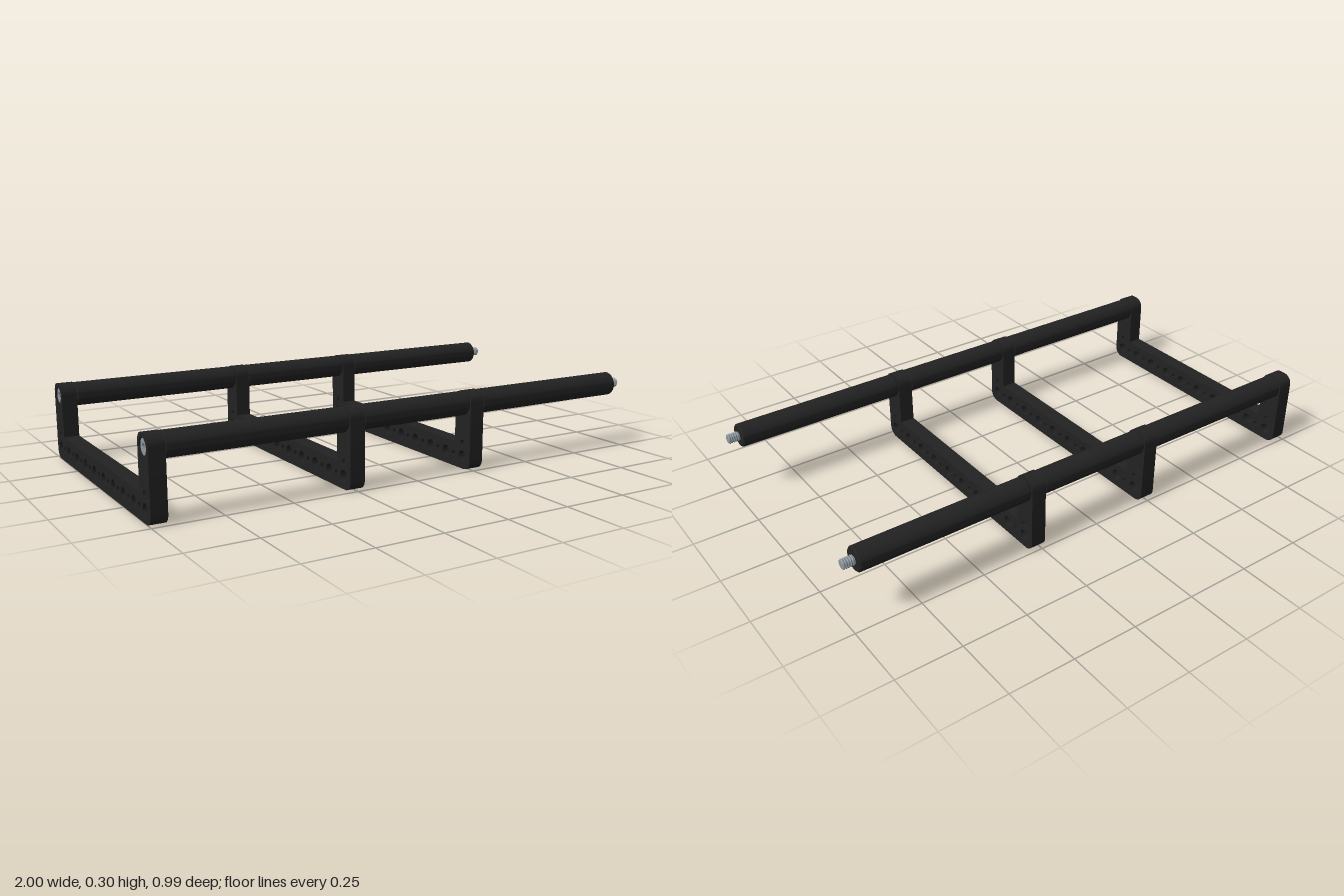
import * as THREE from 'three';
import { toCreasedNormals } from 'three/addons/utils/BufferGeometryUtils.js';

const RAIL_Y = 0.25, RAIL_Z = 0.45, THICK = 0.058;

// Turned part lying along x; profile is a list of [radius, x]
function turned(profile, sides = 40) {
  const g = new THREE.LatheGeometry(profile.map(([r, x]) => new THREE.Vector2(r, x)), sides);
  g.rotateZ(-Math.PI / 2);
  return toCreasedNormals(g, 0.5);
}

function hole(x, y, r) {
  return new THREE.Path().absarc(x, y, r, 0, Math.PI * 2, true);
}

// U-shaped perforated plate, with optional screw bores at the arm tops
function bracketGeometry(bored) {
  const w = 0.496, inner = 0.405, top = 0.295, base = 0.095, r = 0.036;
  const s = new THREE.Shape();
  s.moveTo(-w + r, 0);
  s.lineTo(w - r, 0);
  s.absarc(w - r, r, r, -Math.PI / 2, 0);
  s.absarc(w - r, top - r, r, 0, Math.PI / 2);
  s.absarc(inner + r, top - r, r, Math.PI / 2, Math.PI);
  s.lineTo(inner, base);
  s.lineTo(-inner, base);
  s.absarc(-inner - r, top - r, r, 0, Math.PI / 2);
  s.absarc(-w + r, top - r, r, Math.PI / 2, Math.PI);
  s.absarc(-w + r, r, r, Math.PI, Math.PI * 1.5);
  // Alternating large and small holes along the base
  for (let i = -9; i <= 9; i++) {
    s.holes.push(hole(i * 0.05, 0.048, i % 2 ? 0.021 : 0.011));
  }
  for (const side of [-1, 1]) {
    s.holes.push(hole(side * RAIL_Z, 0.098, 0.011));
    if (bored) s.holes.push(hole(side * RAIL_Z, RAIL_Y, 0.031));
  }
  const g = new THREE.ExtrudeGeometry(s, { depth: THICK, bevelEnabled: false, curveSegments: 12 });
  g.rotateY(Math.PI / 2);
  return toCreasedNormals(g, 0.6);
}

// Rail tube with chamfered ends
function railGeometry(x0, x1) {
  const R = 0.045, c = 0.005;
  return turned([[0, x0], [R - c, x0], [R, x0 + c], [R, x1 - c], [R - c, x1], [0, x1]]);
}

// Threaded stud: ridged profile
function studGeometry(x0, x1) {
  const pts = [[0, x0], [0.016, x0]], n = 6, step = (x1 - x0) / n;
  for (let i = 0; i < n; i++) {
    pts.push([0.019, x0 + (i + 0.5) * step], [0.016, x0 + (i + 1) * step]);
  }
  pts.push([0, x1]);
  return turned(pts, 24);
}

// Screw head with a hexagonal socket, facing -x
function screwGeometry() {
  const s = new THREE.Shape().absarc(0, 0, 0.028, 0, Math.PI * 2);
  const hex = new THREE.Path();
  for (let i = 0; i < 6; i++) {
    const a = -i * Math.PI / 3;
    hex[i ? 'lineTo' : 'moveTo'](0.013 * Math.cos(a), 0.013 * Math.sin(a));
  }
  hex.closePath();
  s.holes.push(hex);
  const g = new THREE.ExtrudeGeometry(s, { depth: 0.03, bevelEnabled: false, curveSegments: 16 });
  g.rotateY(Math.PI / 2);
  return toCreasedNormals(g, 0.6);
}

export function createModel() {
  const black = new THREE.MeshStandardMaterial({ color: 0x222222 });
  black.name = 'black metal';
  const steel = new THREE.MeshStandardMaterial({ color: 0x8d989f });
  steel.name = 'steel';

  const model = new THREE.Group();
  model.name = 'railFrame';
  function add(name, geometry, material, x = 0, y = 0, z = 0) {
    const m = new THREE.Mesh(geometry, material);
    m.name = name;
    m.position.set(x, y, z);
    model.add(m);
  }

  // Three brackets; only the end one shows its screws
  const starts = [-1, -0.278, 0.235];
  const plain = bracketGeometry(false);
  add('endBracket', bracketGeometry(true), black, starts[0]);
  add('middleBracket', plain, black, starts[1]);
  add('frontBracket', plain, black, starts[2]);

  // Rail segments between brackets, studs and screws on both sides
  const ends = [starts[1], starts[2], 0.957];
  const rails = starts.map((x, i) => railGeometry(x + THICK, ends[i]));
  const stud = studGeometry(0.95, 1);
  const screw = screwGeometry();
  const socketFloor = turned([[0, 0], [0.028, 0], [0.028, 0.04], [0, 0.04]], 24);
  for (const [side, z] of [['left', RAIL_Z], ['right', -RAIL_Z]]) {
    rails.forEach((g, i) => add(`${side}Rail${i + 1}`, g, black, 0, RAIL_Y, z));
    add(`${side}Stud`, stud, steel, 0, RAIL_Y, z);
    add(`${side}ScrewHead`, screw, steel, -0.996, RAIL_Y, z);
    add(`${side}ScrewSocket`, socketFloor, black, -0.98, RAIL_Y, z);
  }
  return model;
}
